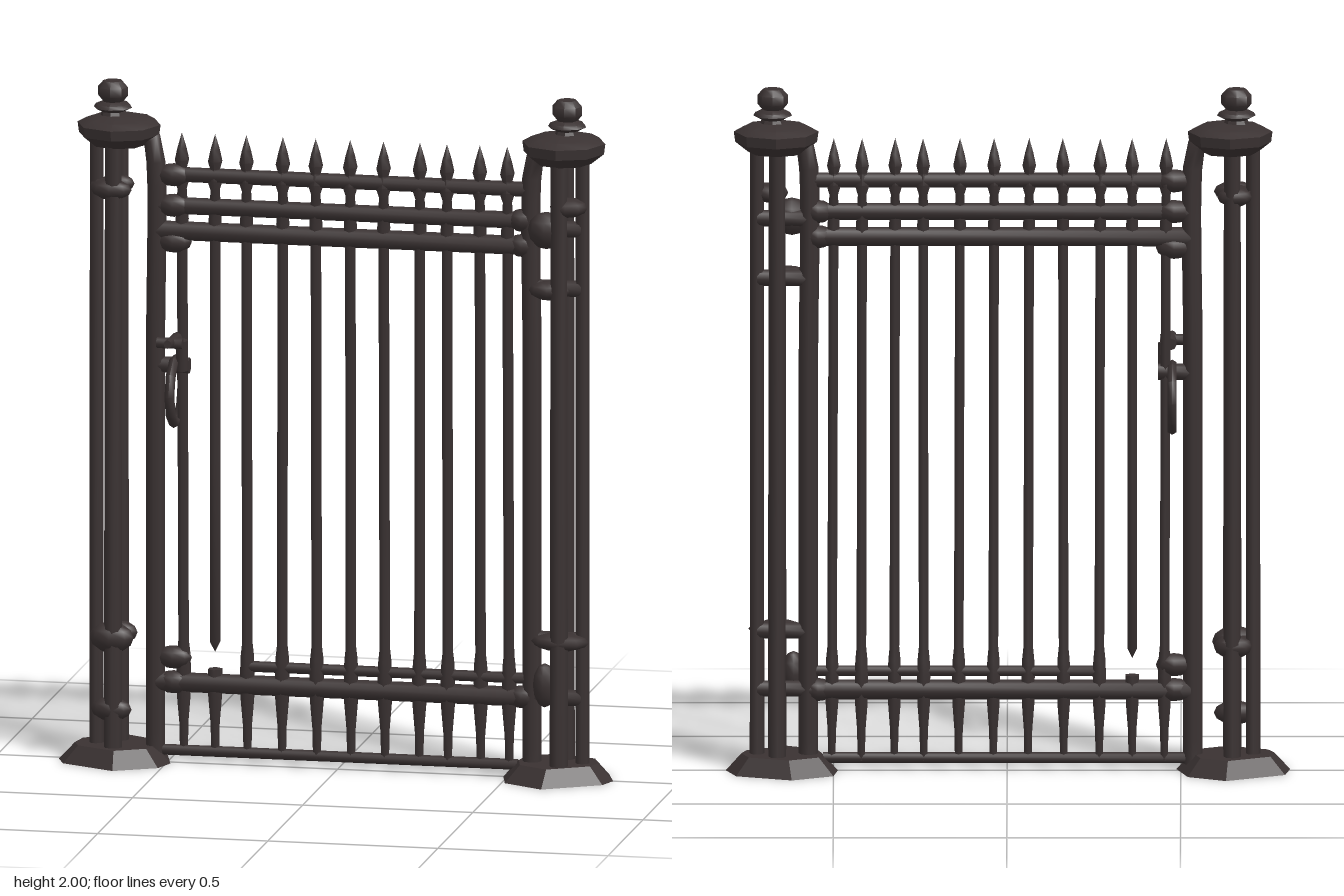
import * as THREE from 'three';
import { toCreasedNormals } from 'three/addons/utils/BufferGeometryUtils.js';

const V = (x, y, z) => new THREE.Vector3(x, y, z);

export function createModel() {
  const gate = new THREE.Group();
  gate.name = 'ironGate';
  const iron = new THREE.MeshStandardMaterial({ color: 0x3a3232 });
  iron.name = 'darkIron';

  let seed = 7;
  const jitter = (s) => {
    seed = (seed * 16807) % 2147483647;
    return (seed / 2147483647 - 0.5) * 2 * s;
  };

  function add(parent, name, geometry, crease = 0.8) {
    const mesh = new THREE.Mesh(toCreasedNormals(geometry, crease), iron);
    mesh.name = name;
    parent.add(mesh);
    return mesh;
  }
  // Straight round rod between two points
  function rod(parent, name, a, b, r0, r1 = r0, sides = 8) {
    const mesh = add(parent, name, new THREE.CylinderGeometry(r1, r0, a.distanceTo(b), sides), 1.1);
    mesh.position.copy(a).lerp(b, 0.5);
    mesh.quaternion.setFromUnitVectors(V(0, 1, 0), b.clone().sub(a).normalize());
    return mesh;
  }
  // Turned part from [radius, height] pairs
  function turned(parent, name, profile, x, z = 0, sides = 8, crease = 0.6) {
    const points = profile.map(([r, y]) => new THREE.Vector2(r, y));
    const mesh = add(parent, name, new THREE.LatheGeometry(points, sides), crease);
    mesh.position.set(x, 0, z);
    return mesh;
  }
  // Rounded lump used for clamps and joints
  function lump(parent, name, x, y, z, sx, sy, sz) {
    const mesh = add(parent, name, new THREE.SphereGeometry(1, 8, 6), 1.1);
    mesh.scale.set(sx, sy, sz);
    mesh.position.set(x, y, z);
  }

  // Posts: clusters of four poles with foot, cap and finial
  const feet = {
    left: [[-0.815, 0.02], [-0.8, -0.07], [-0.63, -0.16], [-0.52, -0.1],
      [-0.487, 0.02], [-0.51, 0.09], [-0.63, 0.155], [-0.79, 0.08]],
    right: [[0.487, 0], [0.5, -0.09], [0.62, -0.152], [0.78, -0.09],
      [0.81, 0], [0.79, 0.06], [0.63, 0.155], [0.51, 0.09]],
  };
  const posts = [
    { name: 'right', foot: feet.left, outer: -0.708, mid: -0.648, inner: -0.535, cap: -0.642, finial: -0.66 },
    { name: 'left', foot: feet.right, outer: 0.72, mid: 0.662, inner: 0.572, cap: 0.665, finial: 0.675 },
  ];
  for (const p of posts) {
    const post = new THREE.Group();
    post.name = p.name + 'Post';
    gate.add(post);
    const side = Math.sign(p.outer);

    // Irregular foot slab, narrowing toward its top
    const outline = new THREE.Shape(p.foot.map(([x, z]) => new THREE.Vector2(x, -z)));
    const slab = new THREE.ExtrudeGeometry(outline, { depth: 0.05, bevelEnabled: false });
    slab.rotateX(-Math.PI / 2);
    const pos = slab.attributes.position;
    const cx = side * 0.65;
    for (let i = 0; i < pos.count; i++) {
      if (pos.getY(i) < 0.025) continue;
      pos.setX(i, cx + (pos.getX(i) - cx) * 0.72);
      pos.setZ(i, pos.getZ(i) * 0.72);
    }
    slab.computeVertexNormals();
    add(post, 'foot', slab, 0.4);

    rod(post, 'outerPole', V(p.outer, 0.03, 0), V(p.outer, 1.84, 0), 0.021, 0.02);
    rod(post, 'frontPole', V(p.mid, 0.03, 0.057), V(p.mid, 1.84, 0.057), 0.027, 0.024);
    rod(post, 'backPole', V(p.mid, 0.03, -0.05), V(p.mid, 1.84, -0.05), 0.025, 0.023);
    // Inner pole bends in under the cap
    const bend = new THREE.CatmullRomCurve3([
      V(p.inner, 0.02, 0), V(p.inner, 0.6, 0), V(p.inner, 1.2, 0), V(p.inner, 1.78, 0),
      V(p.inner + side * 0.012, 1.835, 0), V(p.inner + side * 0.07, 1.86, 0),
    ]);
    add(post, 'innerPole', new THREE.TubeGeometry(bend, 28, 0.028, 8), 1.1);

    turned(post, 'cap', [[0, 1.815], [0.08, 1.815], [0.118, 1.845], [0.122, 1.875],
      [0.095, 1.89], [0.05, 1.9], [0, 1.902]], p.cap, 0, 8, 0.4);
    turned(post, 'finial', [[0.04, 1.89], [0.032, 1.91], [0.056, 1.922], [0.05, 1.932],
      [0.03, 1.94], [0.044, 1.957], [0.044, 1.982], [0.028, 2], [0, 2]], p.finial, 0, 8, 0.7);
  }

  // Clamps binding the poles: [x, y, z, size x, size y, size z]
  const clamps = [
    [-0.655, 1.69, 0.05, 0.06, 0.03, 0.038], [-0.655, 1.69, -0.04, 0.05, 0.028, 0.035],
    [-0.655, 0.37, 0.045, 0.065, 0.045, 0.045], [-0.65, 0.37, -0.035, 0.055, 0.035, 0.04],
    [-0.655, 0.16, 0.05, 0.06, 0.035, 0.035],
    [0.62, 1.62, 0.03, 0.055, 0.055, 0.045], [0.685, 1.69, 0.03, 0.055, 0.028, 0.055],
    [0.63, 1.445, 0.04, 0.06, 0.028, 0.04], [0.66, 0.41, 0.03, 0.085, 0.026, 0.055],
    [0.615, 0.28, 0.03, 0.035, 0.065, 0.035],
  ];
  for (const c of clamps) lump(gate, 'clamp', ...c);
  // Short ties from each post to its gate stile
  for (const y of [0.24, 0.41, 1.445, 1.62]) {
    rod(gate, 'hingeTie', V(0.57, y, 0), V(0.72, y, 0), 0.024);
  }
  for (const y of [0.37, 1.69]) rod(gate, 'poleTie', V(-0.71, y, 0), V(-0.64, y, 0.04), 0.024);

  // Horizontal rails: [start x, end x, height, radius]
  const rails = [
    [-0.53, 0.57, 1.732, 0.022], [-0.53, 0.57, 1.64, 0.025], [-0.53, 0.57, 1.566, 0.028],
    [-0.27, 0.57, 0.292, 0.016], [-0.53, 0.57, 0.237, 0.029], [-0.52, 0.53, 0.037, 0.016],
  ];
  for (const [x0, x1, y, r] of rails) rod(gate, 'rail', V(x0, y, 0), V(x1, y, 0), r);
  // Swollen joints where the rails meet the right stile
  for (const y of [1.535, 1.64, 1.73, 0.31, 0.237]) lump(gate, 'railJoint', -0.48, y, 0, 0.052, 0.034, 0.034);
  for (const y of [1.566, 1.64, 0.237]) lump(gate, 'railJoint', 0.545, y, 0, 0.045, 0.034, 0.034);

  // Spear-topped pickets
  const lower = [[0, 0.03], [0.012, 0.03], [0.014, 0.12], [0.021, 0.2], [0.022, 0.28]];
  const upper = [[0.02, 0.325], [0.016, 0.36], [0.016, 0.9], [0.016, 1.54], [0.02, 1.6],
    [0.014, 1.69], [0.024, 1.72], [0.015, 1.752], [0.022, 1.775], [0.014, 1.81], [0, 1.855]];
  const xs = [-0.452, -0.36, -0.265, -0.163, -0.06, 0.04, 0.14, 0.24, 0.325, 0.42, 0.505];
  xs.forEach((x, i) => {
    const z = jitter(0.004);
    if (i === 1) {
      // This picket has a break above the bottom rail
      turned(gate, 'brokenPicketLower', [...lower, [0, 0.285]], x, z, 6, 1.1);
      turned(gate, 'brokenPicketUpper', [[0, 0.33], ...upper.slice(1)], x, z, 6, 1.1);
    } else {
      const picket = turned(gate, 'picket', [...lower, ...upper], x, z, 6, 1.1);
      picket.rotation.z = jitter(0.004);
    }
  });

  // Pull ring hanging through the gate, with its latch
  const ring = add(gate, 'pullRing', new THREE.TorusGeometry(0.094, 0.015, 6, 10), 1.1);
  ring.rotation.y = Math.PI / 2;
  ring.position.set(-0.475, 1.095, 0);
  rod(gate, 'latchPlate', V(-0.515, 1.25, 0.075), V(-0.44, 1.25, 0.075), 0.016);
  rod(gate, 'latchArm', V(-0.47, 1.25, 0), V(-0.475, 1.255, 0.12), 0.018, 0.012);
  rod(gate, 'latchStem', V(-0.452, 1.16, 0.02), V(-0.452, 1.25, 0.03), 0.018);
  rod(gate, 'ringPin', V(-0.53, 1.17, 0), V(-0.435, 1.17, 0), 0.024);

  return gate;
}
